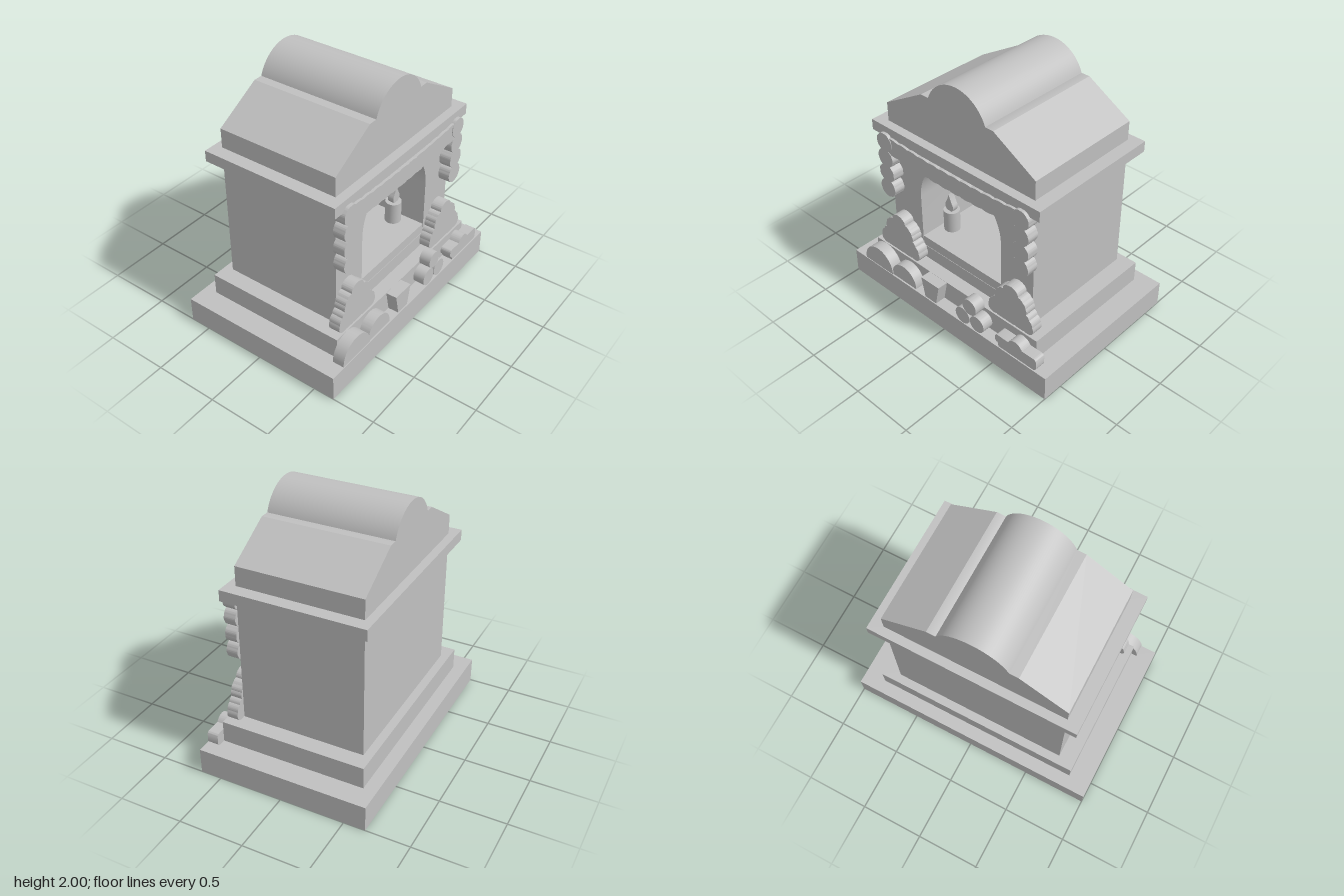
import * as THREE from 'three';
import { toCreasedNormals } from 'three/addons/utils/BufferGeometryUtils.js';

const stone = new THREE.MeshStandardMaterial({ color: 0xc0c0c0 });
stone.name = 'plain grey';

export function createModel() {
  const model = new THREE.Group();
  model.name = 'altar';

  const add = (name, geometry) => {
    const mesh = new THREE.Mesh(geometry, stone);
    mesh.name = name;
    model.add(mesh);
    return mesh;
  };
  // Box given by its half width and its y and z ranges
  const block = (name, halfX, y0, y1, z0, z1) =>
    add(name, new THREE.BoxGeometry(halfX * 2, y1 - y0, z1 - z0))
      .position.set(0, (y0 + y1) / 2, (z0 + z1) / 2);
  // Front outline extruded between two depths
  const slab = (name, shape, z0, z1) => {
    const g = new THREE.ExtrudeGeometry(shape, { depth: z1 - z0, bevelEnabled: false, curveSegments: 24 });
    g.translate(0, 0, z0);
    return add(name, toCreasedNormals(g, 0.5));
  };
  const polygon = (points) => new THREE.Shape(points.map(([x, y]) => new THREE.Vector2(x, y)));
  const disc = (x, y, r) => new THREE.Shape().absarc(x, y, r, 0, Math.PI * 2);
  // Counter-clockwise outline whose edges bulge outward as small leaves
  const scalloped = (points, bulge) => {
    const shape = new THREE.Shape();
    shape.moveTo(...points[0]);
    points.forEach(([x, y], i) => {
      const [u, v] = points[(i + 1) % points.length];
      shape.quadraticCurveTo((x + u) / 2 + (v - y) * bulge, (y + v) / 2 - (u - x) * bulge, u, v);
    });
    return shape;
  };

  // Stepped base and cornice
  block('base', 1, 0, 0.2, -0.665, 0.665);
  block('plinth', 0.83, 0.2, 0.37, -0.565, 0.568);
  block('cornice', 0.8, 1.37, 1.455, -0.565, 0.535);

  // Body with an arched niche
  const wall = polygon([[-0.7, 0.37], [0.7, 0.37], [0.7, 1.37], [-0.7, 1.37]]);
  const arch = new THREE.Path();
  arch.moveTo(-0.4, 0.48);
  arch.lineTo(-0.4, 0.93);
  arch.absarc(0, 0.93, 0.4, Math.PI, 0, true);
  arch.lineTo(0.4, 0.48);
  arch.closePath();
  wall.holes.push(arch);
  slab('nicheWall', wall, -0.2, 0.465);
  block('backWall', 0.7, 0.37, 1.37, -0.5, -0.2);
  block('nicheShelf', 0.4, 0.48, 0.56, -0.2, 0.462);

  // Gabled roof with a rounded crest
  const roof = new THREE.Shape();
  roof.moveTo(-0.7, 1.455);
  roof.lineTo(0.7, 1.455);
  roof.lineTo(0.7, 1.605);
  roof.lineTo(0.335, 1.815);
  roof.lineTo(0.265, 1.815);
  const a = Math.atan2(0.097, 0.265);
  roof.absarc(0, 1.718, 0.282, a, Math.PI - a);
  roof.lineTo(-0.335, 1.815);
  roof.lineTo(-0.7, 1.605);
  slab('roof', roof, -0.5, 0.465);

  // Candles on the shelf
  const flame = new THREE.Shape();
  flame.moveTo(-0.025, 0.735);
  flame.lineTo(0.025, 0.735);
  flame.quadraticCurveTo(0.052, 0.765, 0.034, 0.8);
  flame.quadraticCurveTo(0.012, 0.84, 0, 0.885);
  flame.quadraticCurveTo(-0.012, 0.84, -0.034, 0.8);
  flame.quadraticCurveTo(-0.052, 0.765, -0.025, 0.735);
  for (const side of [-1, 1]) {
    add('candle', new THREE.CylinderGeometry(0.0625, 0.0625, 0.175, 32))
      .position.set(side * 0.315, 0.6475, 0.245);
    slab('flame', flame, 0.22, 0.27).position.x = side * 0.315;
  }

  // Garland sagging across the front
  const lower = [], upper = [];
  for (let i = 0; i <= 12; i++) {
    const x = -0.62 + (i * 1.24) / 12;
    const lift = 0.022 * (x / 0.62) ** 2;
    lower.push([x, 1.232 + lift]);
    upper.unshift([x, 1.36 + lift]);
  }
  slab('garlandSwag', scalloped([...lower, ...upper], 0.13), 0.466, 0.555);

  // Hanging flower columns and leafy bushes on both sides
  const bushHalf = [[0.2, 0.385], [0.205, 0.45], [0.175, 0.5], [0.145, 0.535], [0.14, 0.585],
    [0.115, 0.625], [0.07, 0.65], [0.045, 0.695]];
  const bush = [[-0.13, 0.375], [-0.045, 0.375], [0.045, 0.375], [0.13, 0.375],
    ...bushHalf, ...bushHalf.map(([x, y]) => [-x, y]).reverse()];
  for (const side of [-1, 1]) {
    [1.33, 1.197, 1.063, 0.93].forEach((y, i) => {
      const ring = [];
      for (let k = 0; k < 8; k++) {
        const t = ((k + (i % 2) / 2) * Math.PI) / 4;
        ring.push([side * 0.655 + 0.074 * Math.cos(t), y + 0.074 * Math.sin(t)]);
      }
      slab('garlandFlower', scalloped(ring, 0.3), 0.466, 0.56 - i * 0.001);
    });
    slab('bush', scalloped(bush, 0.3), 0.466, 0.555).position.x = side * 0.572;
  }

  // Offerings along the front step: two domed loaves
  for (const [x, y, r, z] of [[-0.72, 0.215, 0.155, 0.66], [-0.44, 0.212, 0.132, 0.652]]) {
    const dome = new THREE.Shape();
    const t = Math.asin((y - 0.2) / r);
    dome.absarc(x, y, r, -t, Math.PI + t);
    slab('domedLoaf', dome, 0.569, z);
  }

  // Cup
  slab('cup', polygon([[-0.2, 0.2], [-0.085, 0.2], [-0.05, 0.37], [-0.235, 0.37]]), 0.569, 0.656);

  // Stacked fruit
  for (const [x, y, r] of [[0.2, 0.27, 0.07], [0.343, 0.27, 0.068], [0.27, 0.39, 0.067]])
    slab('fruit', disc(x, y, r), 0.569, 0.66);

  // Knobbly bread
  const bread = new THREE.Shape();
  bread.moveTo(0.555, 0.2);
  bread.lineTo(0.87, 0.2);
  bread.quadraticCurveTo(0.905, 0.2, 0.905, 0.23);
  bread.lineTo(0.905, 0.28);
  bread.quadraticCurveTo(0.9, 0.303, 0.875, 0.303);
  bread.lineTo(0.775, 0.303);
  bread.quadraticCurveTo(0.75, 0.345, 0.71, 0.345);
  bread.quadraticCurveTo(0.67, 0.345, 0.645, 0.303);
  bread.lineTo(0.545, 0.303);
  bread.quadraticCurveTo(0.52, 0.3, 0.52, 0.27);
  bread.quadraticCurveTo(0.52, 0.235, 0.545, 0.235);
  bread.closePath();
  slab('bread', bread, 0.569, 0.656);

  return model;
}
